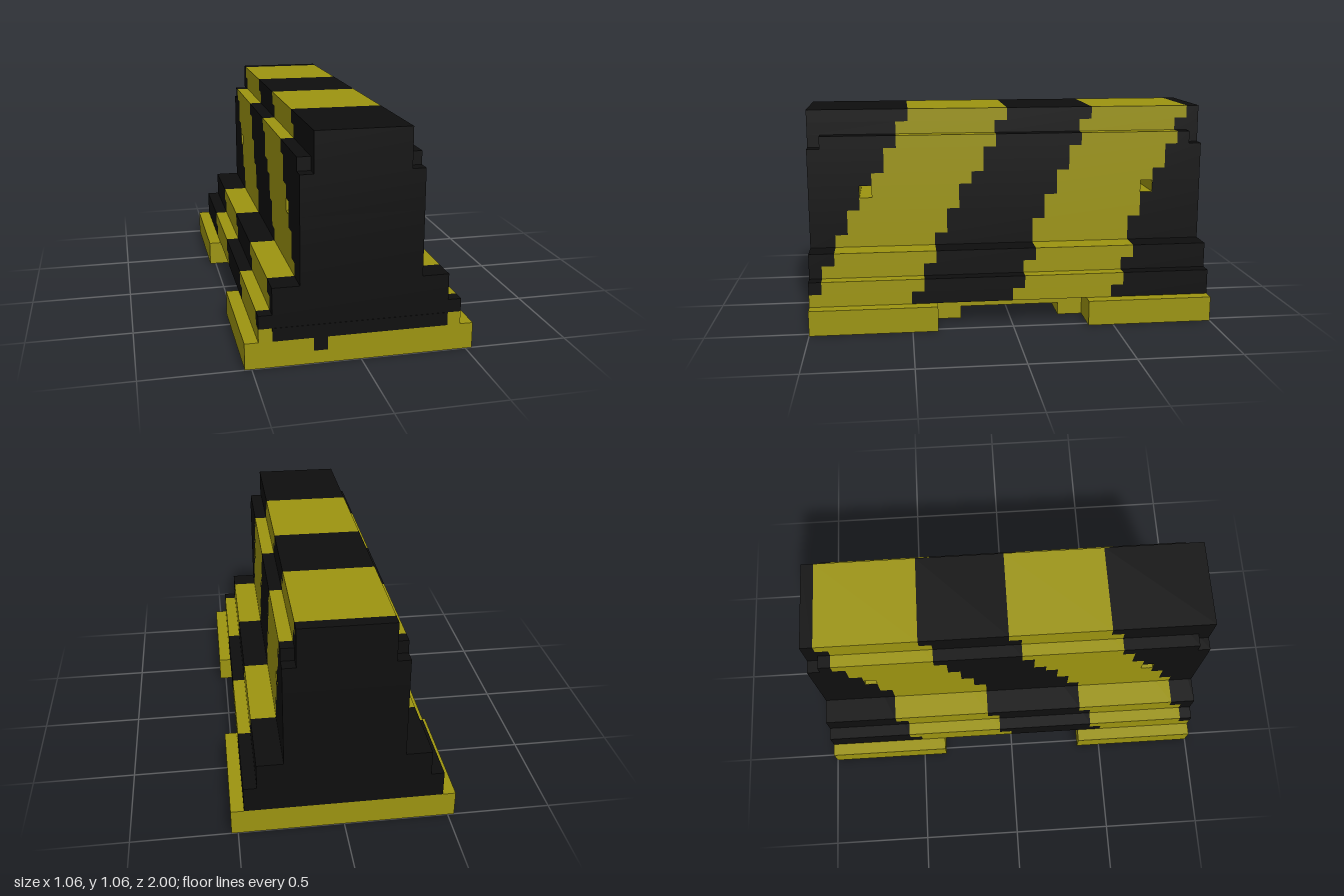
import * as THREE from 'three';
import { mergeGeometries } from 'three/addons/utils/BufferGeometryUtils.js';

const U = 1 / 16; // one block

// box from min/max corners, in blocks
function block(x0, x1, y0, y1, z0, z1) {
  return new THREE.BoxGeometry((x1 - x0) * U, (y1 - y0) * U, (z1 - z0) * U)
    .translate((x0 + x1) / 2 * U, (y0 + y1) / 2 * U, (z0 + z1) / 2 * U);
}

export function createModel() {
  const group = new THREE.Group();
  const yellow = new THREE.MeshStandardMaterial({ color: 0x9c9410 });
  yellow.name = 'safety yellow';
  const black = new THREE.MeshStandardMaterial({ color: 0x0e0e0e });
  black.name = 'stripe black';

  const add = (name, geometries, material) => {
    const mesh = new THREE.Mesh(mergeGeometries(geometries), material);
    mesh.name = name;
    group.add(mesh);
  };

  // half width of the stepped barrier wall at each course of blocks
  const halfWidth = (row) => (row < 4 ? 7.5 : row < 6 ? 6.5 : row < 15 ? 4.5 : 3.5);
  // how far the slanted stripes have moved back, for rows 2 to 16
  const frontShift = [0, 1, 1, 2, 2, 3, 3, 4, 4, 5, 6, 6, 7, 7, 8];
  const rearShift = [0, 1, 1, 2, 2, 2, 3, 3, 4, 4, 5, 5, 6, 6, 7];

  // five slanted stripes, alternating black and yellow from the front
  const stripes = [[], [], [], [], []];
  for (let row = 2; row <= 16; row++) {
    const f = frontShift[row - 2], r = rearShift[row - 2], w = halfWidth(row);
    const edges = [16, 16 - f, 8 - f, -r, -8 - r, -16];
    for (let i = 0; i < 5; i++) {
      let z1 = edges[i], z0 = edges[i + 1];
      if (z1 <= z0) continue;
      // lifting holes through the wall
      if (row === 10 && i === 1) z1 -= 1;
      if (row === 10 && i === 3) z0 += 1;
      // notched corners under the top ledge
      if (row === 14 && i === 0) {
        stripes[i].push(block(-3.5, 3.5, row, row + 1, 15, 16));
        z1 = 15;
      }
      if (row === 14 && i === 4) {
        stripes[i].push(block(-3.5, 3.5, row, row + 1, -16, -15));
        z0 = -15;
      }
      stripes[i].push(block(-w, w, row, row + 1, z0, z1));
    }
  }
  const names = ['frontBlackStripe', 'frontYellowStripe', 'middleBlackStripe', 'rearYellowStripe', 'rearBlackStripe'];
  stripes.forEach((parts, i) => add(names[i], parts, i % 2 ? yellow : black));

  // yellow lining of the lifting holes
  const lining = [];
  for (const z of [11, -12]) {
    lining.push(block(-4.49, 4.49, 9.98, 10.02, z, z + 1), block(-4.49, 4.49, 10.98, 11.02, z, z + 1));
    const wall = z > 0 ? z + 1 : z;
    lining.push(block(-4.49, 4.49, 10, 11, wall - 0.02, wall + 0.02));
  }
  add('liftingHoleLining', lining, yellow);

  // two feet with narrower tongues, joined by a raised slab
  for (const s of [1, -1]) {
    const span = (a, b) => (s > 0 ? [a, b] : [-b, -a]);
    add(s > 0 ? 'frontFoot' : 'rearFoot', [
      block(-8.5, 8.5, 0, 2, ...span(6, 16)),
      block(-5.5, 5.5, 0, 2, ...span(4, 6)),
    ], yellow);
  }
  add('underSlab', [block(-5.5, 5.5, 1, 2, -4, 4)], yellow);

  // painted end face and drip mark
  add('frontPaint', [
    block(-6.5, 6.5, 2, 3, 16, 16.03),
    block(-3.5, -2.5, 1, 2, 16, 16.03),
  ], black);

  return group;
}
